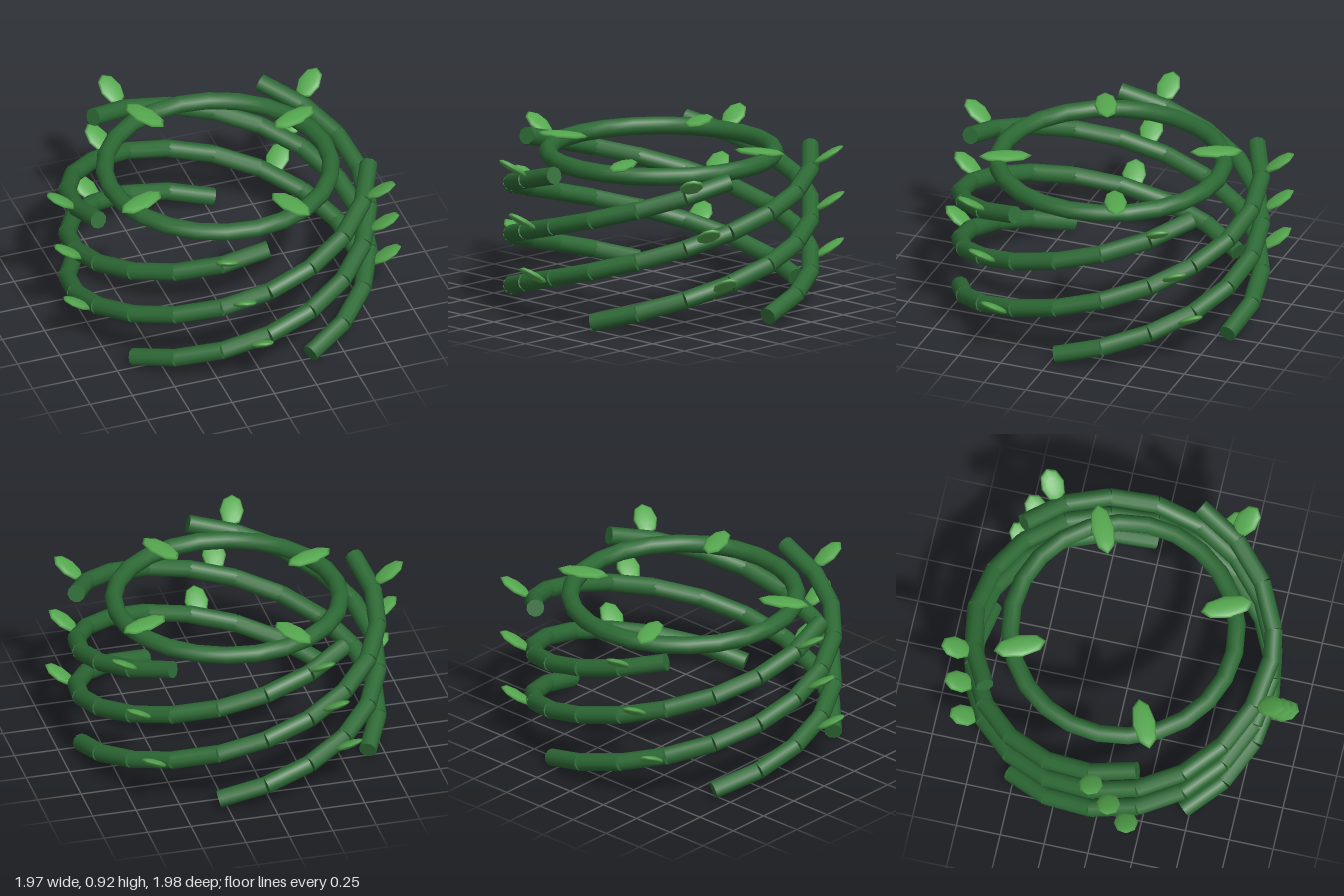
import * as THREE from 'three';

const CX = 0.035, CZ = -0.03;      // common axis of the rings of vine
const STRANDS = 5, SEGMENTS = 11;
const R = 0.84, TUBE = 0.05, Y0 = 0.052, Y1 = 0.857;
const rad = THREE.MathUtils.degToRad;

const vineMat = new THREE.MeshStandardMaterial({ color: 0x2d6a35 });
const leafMat = new THREE.MeshStandardMaterial({ color: 0x55a84f });

// angle 0 is the front (+z), growing towards +x
const polar = (deg, r, y) =>
  new THREE.Vector3(r * Math.sin(rad(deg)), y, r * Math.cos(rad(deg)));

// straight closed cylinder between two points
function stem(a, b) {
  const dir = b.clone().sub(a);
  const mesh = new THREE.Mesh(new THREE.CylinderGeometry(TUBE, TUBE, dir.length(), 10), vineMat);
  mesh.position.copy(a).add(b).multiplyScalar(0.5);
  mesh.quaternion.setFromUnitVectors(new THREE.Vector3(0, 1, 0), dir.normalize());
  mesh.name = 'vineSegment';
  return mesh;
}

// flattened ellipsoid pointing outward, tilted up by `lift` degrees
function leaf(deg, r, y, halfWidth, halfLength, lift) {
  const geo = new THREE.SphereGeometry(1, 8, 6).scale(halfWidth, 0.02, halfLength);
  const mesh = new THREE.Mesh(geo, leafMat);
  mesh.position.copy(polar(deg, r, y));
  mesh.rotation.set(-rad(lift), rad(deg), 0, 'YXZ');
  mesh.name = 'leaf';
  return mesh;
}

export function createModel() {
  const model = new THREE.Group();
  model.name = 'vineBasket';
  model.position.set(CX, 0, CZ);

  // rising spiral vines, each with three leaves
  const span = 18 * SEGMENTS;
  const leaves = [[0.25, 0.29], [7 / 12, 0.58], [11 / 12, 0.865]];
  for (let s = 0; s < STRANDS; s++) {
    const strand = new THREE.Group();
    strand.name = 'spiralVine';
    const start = 18 + 72 * s;
    const at = (t) => polar(start + span * t, R, Y0 + (Y1 - Y0) * t);
    for (let i = 0; i < SEGMENTS; i++) strand.add(stem(at(i / SEGMENTS), at((i + 1) / SEGMENTS)));
    for (const [t, y] of leaves) strand.add(leaf(start + span * t, 0.938, y, 0.068, 0.1, 33));
    model.add(strand);
  }

  // inner ring at the top with four flat leaves
  const topRing = new THREE.Group();
  topRing.name = 'topRing';
  const ring = new THREE.Mesh(
    new THREE.TorusGeometry(0.632, 0.05, 10, 24).rotateX(Math.PI / 2), vineMat);
  ring.position.y = 0.857;
  ring.name = 'ring';
  topRing.add(ring);
  for (let i = 0; i < 4; i++) topRing.add(leaf(24 + 90 * i, 0.588, 0.902, 0.065, 0.15, 0));
  model.add(topRing);

  const root = new THREE.Group();
  root.add(model);
  return root;
}
